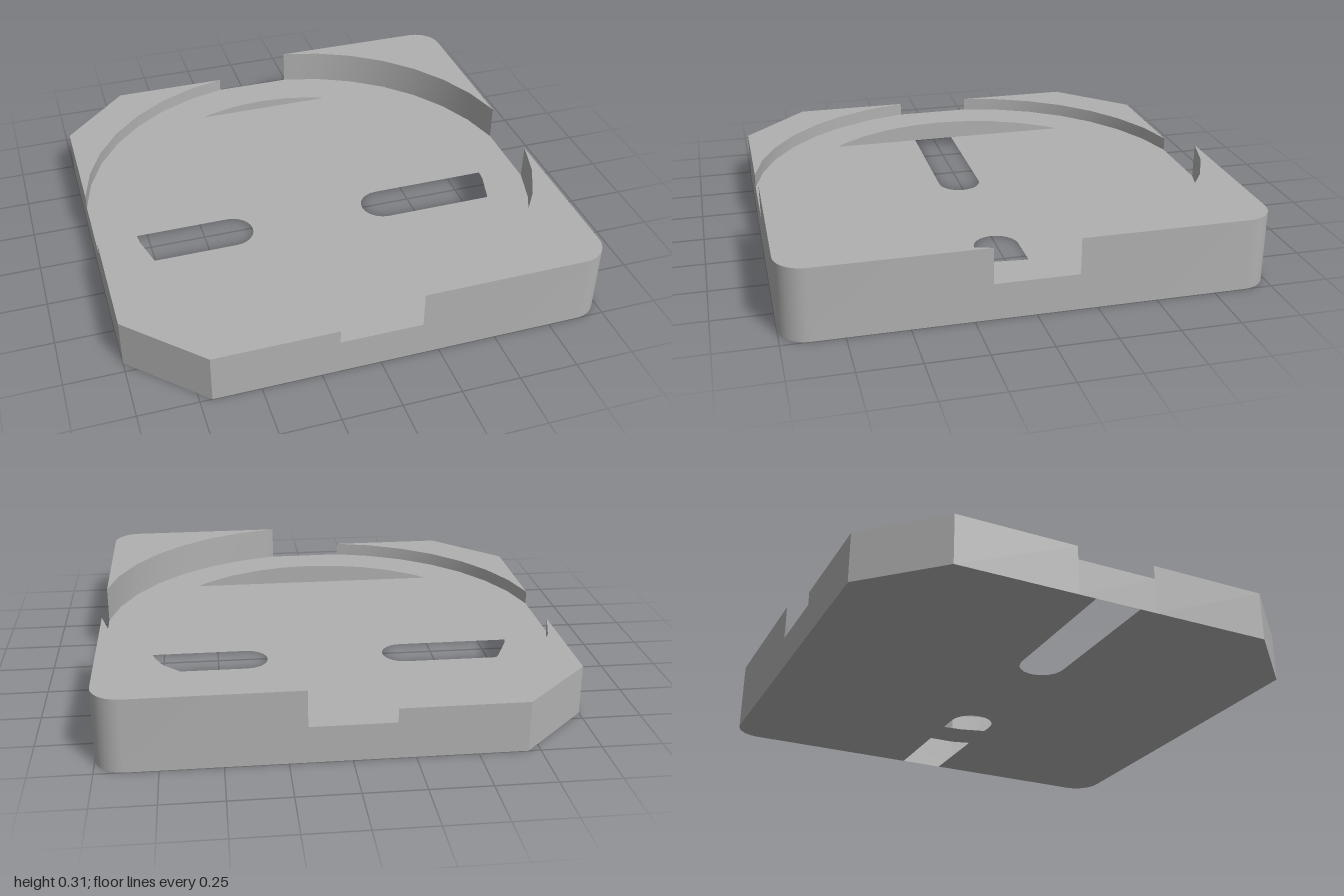
import * as THREE from 'three';
import { toCreasedNormals } from 'three/addons/utils/BufferGeometryUtils.js';

const NOTCH = 0.175;                 // half width of the notch in each side
const RIM_Y = 0.155;                 // height of the circular ledge
const HIGH = 0.31, LOW = 0.215;      // heights of the corner blocks
const HOLE = 0.828;                  // radius of the opening in the ledge
const SLOT = 0.1, SLOT_END = 0.37;   // slot half width and centre of its round end

// Arc of points (x, z), angle measured from +z towards +x
function arc(cx, cz, r, from, to, n) {
  return Array.from({ length: n + 1 }, (_, i) => {
    const t = from + (to - from) * i / n;
    return [cx + r * Math.sin(t), cz + r * Math.cos(t)];
  });
}

// Mirror a quadrant path so that the four always run round the same way
function mirror(points, sx, sz) {
  const p = points.map(([x, z]) => [x * sx, z * sz]);
  return sx * sz < 0 ? p.reverse() : p;
}

// Upright sheet along a path
function wall(points, y0, y1) {
  const pos = [];
  for (let i = 0; i < points.length - 1; i++) {
    const [ax, az] = points[i], [bx, bz] = points[i + 1];
    pos.push(ax, y0, az, bx, y0, bz, bx, y1, bz, ax, y0, az, bx, y1, bz, ax, y1, az);
  }
  const g = new THREE.BufferGeometry();
  g.setAttribute('position', new THREE.Float32BufferAttribute(pos, 3));
  return toCreasedNormals(g, 0.6);
}

// Level sheet facing up (dir 1) or down (dir -1)
function sheet(points, y, dir, hole) {
  const toV = ([x, z]) => new THREE.Vector2(x, -dir * z);
  const shape = new THREE.Shape(points.map(toV));
  if (hole) shape.holes.push(new THREE.Path(hole.map(toV)));
  return new THREE.ShapeGeometry(shape).rotateX(-dir * Math.PI / 2).translate(0, y, 0);
}

export function createModel() {
  const model = new THREE.Group();
  const grey = new THREE.MeshStandardMaterial({ color: 0xb0b0b0, side: THREE.DoubleSide });
  grey.name = 'grey';
  const add = (name, geometry, parent = model) => {
    const mesh = new THREE.Mesh(geometry, grey);
    mesh.name = name;
    parent.add(mesh);
  };

  // Quadrant paths: rounded corner, chamfered corner, circular inner wall
  const rounded = [[NOTCH, 1], ...arc(0.88, 0.88, 0.12, 0, Math.PI / 2, 10), [1, NOTCH]];
  const chamfered = [[NOTCH, 1], [0.7, 1], [1, 0.7], [1, NOTCH]];
  const t0 = Math.atan(NOTCH);
  const curve = arc(0, 0, Math.hypot(1, NOTCH), t0, Math.PI / 2 - t0, 7);

  const outline = [], rim = [];
  for (const [sx, sz] of [[1, 1], [1, -1], [-1, -1], [-1, 1]]) {
    const outer = mirror(sx > 0 ? rounded : chamfered, sx, sz);
    const inner = mirror(curve, sx, sz);
    const height = sx > 0 ? HIGH : LOW;

    // Corner block
    const block = new THREE.Group();
    block.name = `${sz > 0 ? 'front' : 'back'}${sx > 0 ? 'Left' : 'Right'}Block`;
    add('outerWall', wall(outer, 0, height), block);
    add('curvedInnerWall', wall([...inner].reverse(), RIM_Y, height), block);
    add('blockTop', sheet([...outer, ...inner.slice(1, -1).reverse()], height, 1), block);
    model.add(block);

    // Floor outline, with a slot cut in from each side
    outline.push(...outer);
    if (sx === sz) {
      const end = arc(SLOT_END, 0, SLOT, 0, -Math.PI, 12);
      outline.push(...[[1, SLOT], ...end, [1, -SLOT]].map(([x, z]) => [x * sx, z * sx]));
    }
    rim.push(...inner);
  }

  add('slottedFloor', sheet(outline, 0, -1));
  add('circularLedge', sheet(rim, RIM_Y, 1, arc(0, 0, HOLE, 0, Math.PI * 2, 36).slice(0, -1)));

  // Low walls under the four notches
  for (let i = 0; i < 4; i++) {
    add('notchWall', wall([[-NOTCH, 1], [NOTCH, 1]], 0, RIM_Y).rotateY(i * Math.PI / 2));
  }
  return model;
}
